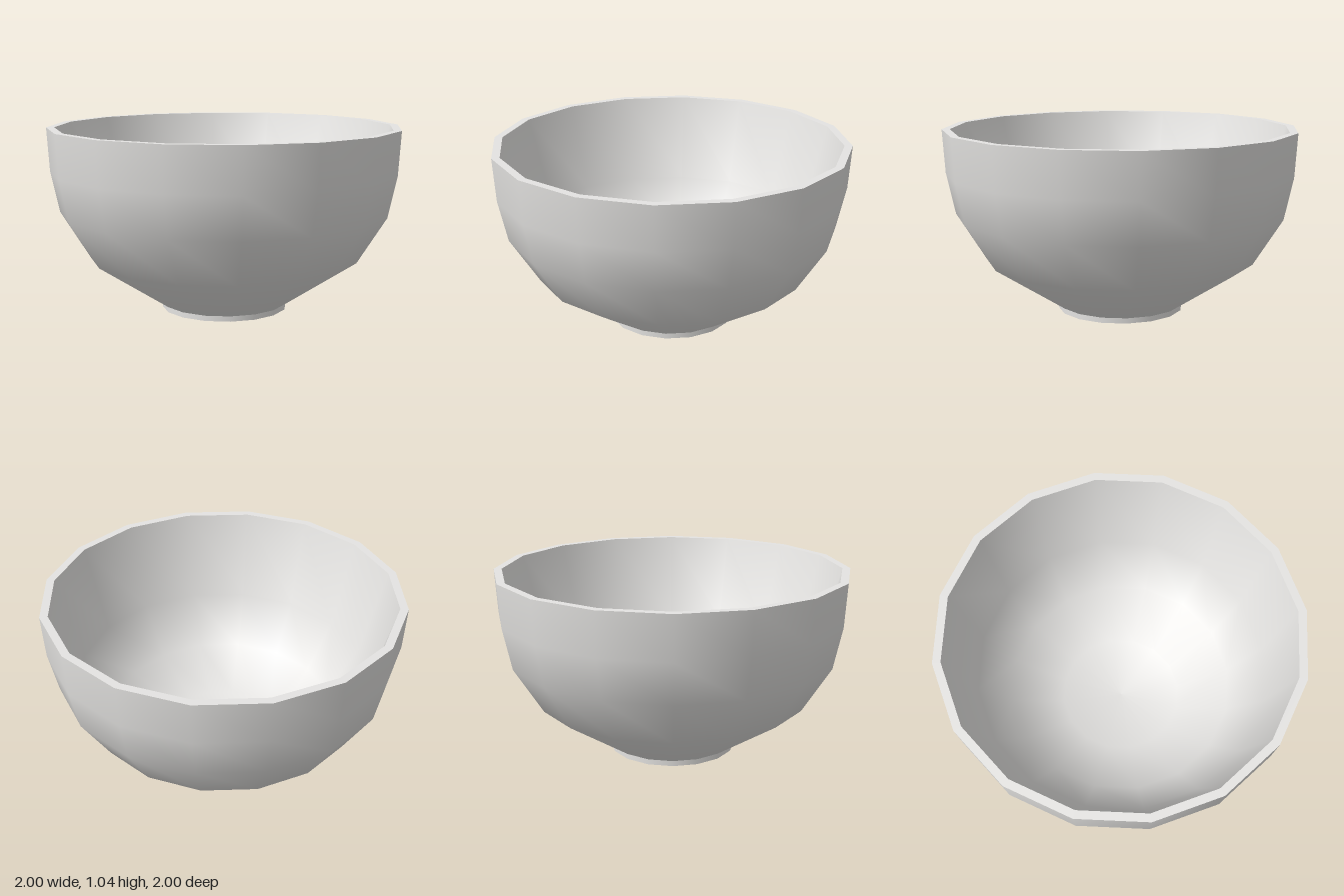
import * as THREE from 'three';

const SIDES = 16;

export function createModel() {
  const ceramic = new THREE.MeshStandardMaterial({ color: 0xe5e4e2 });
  ceramic.name = 'pale ceramic';

  const bowl = new THREE.Group();
  bowl.name = 'bowl';

  // Each profile is turned separately, so shading is smooth within it and sharp where profiles meet
  const turn = (name, profile) => {
    const points = profile.map(([r, y]) => new THREE.Vector2(r, y));
    const mesh = new THREE.Mesh(new THREE.LatheGeometry(points, SIDES), ceramic);
    mesh.name = name;
    bowl.add(mesh);
  };

  // Bowl body: outside, flat rim and hollow inside, thicker towards the bottom
  turn('outerWall', [[0.36, 0.03], [0.77, 0.3], [0.935, 0.565], [0.985, 0.8], [1, 1.045]]);
  turn('rim', [[1, 1.045], [0.955, 1.045]]);
  turn('innerWall', [[0.955, 1.045], [0.82, 0.55], [0.64, 0.28], [0.35, 0.12], [0, 0.1]]);

  // Foot ring around a recessed base
  turn('base', [[0, 0.03], [0.345, 0.03]]);
  turn('footInside', [[0.345, 0.03], [0.345, 0]]);
  turn('footEdge', [[0.345, 0], [0.36, 0]]);
  turn('footOutside', [[0.36, 0], [0.36, 0.03]]);

  return bowl;
}
